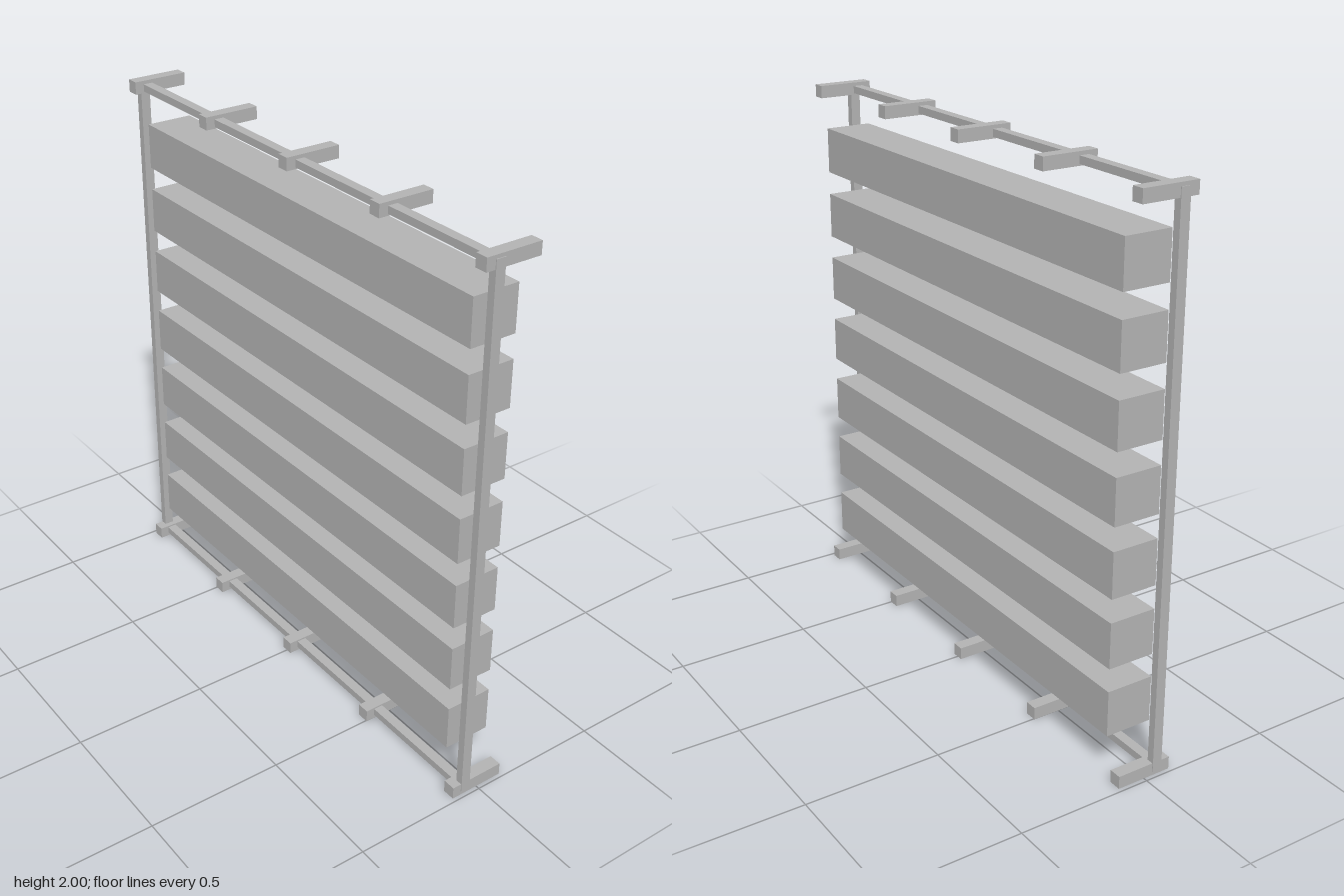
import * as THREE from 'three';

export function createModel() {
  const group = new THREE.Group();
  group.name = 'slattedPanel';
  const grey = new THREE.MeshStandardMaterial({ color: 0xb3b3b3 });
  grey.name = 'plain grey';

  // Box given by its extents on each axis
  function block(name, [x0, x1], [y0, y1], [z0, z1]) {
    const mesh = new THREE.Mesh(new THREE.BoxGeometry(x1 - x0, y1 - y0, z1 - z0), grey);
    mesh.position.set((x0 + x1) / 2, (y0 + y1) / 2, (z0 + z1) / 2);
    mesh.name = name;
    group.add(mesh);
  }

  const frameZ = [0.034, 0.07];

  // Upright posts at both sides
  block('rightPost', [-0.988, -0.96], [0.013, 1.987], frameZ);
  block('leftPost', [0.96, 0.988], [0.013, 1.987], frameZ);

  // Bottom and top rails
  block('bottomRail', [-0.96, 0.96], [0.013, 0.04], frameZ);
  block('topRail', [-0.96, 0.96], [1.96, 1.987], frameZ);

  // Short brackets crossing the rails from front to back
  for (let i = -2; i <= 2; i++) {
    const x = i * 0.481;
    block('bottomBracket', [x - 0.023, x + 0.023], [0, 0.046], [-0.104, 0.104]);
    block('topBracket', [x - 0.023, x + 0.023], [1.954, 2], [-0.104, 0.104]);
  }

  // Seven thick horizontal slats
  for (let i = 0; i < 7; i++) {
    const y = 0.157 + i * 0.2533;
    block('slat', [-0.908, 0.908], [y, y + 0.168], [-0.1, 0.076]);
  }

  return group;
}
